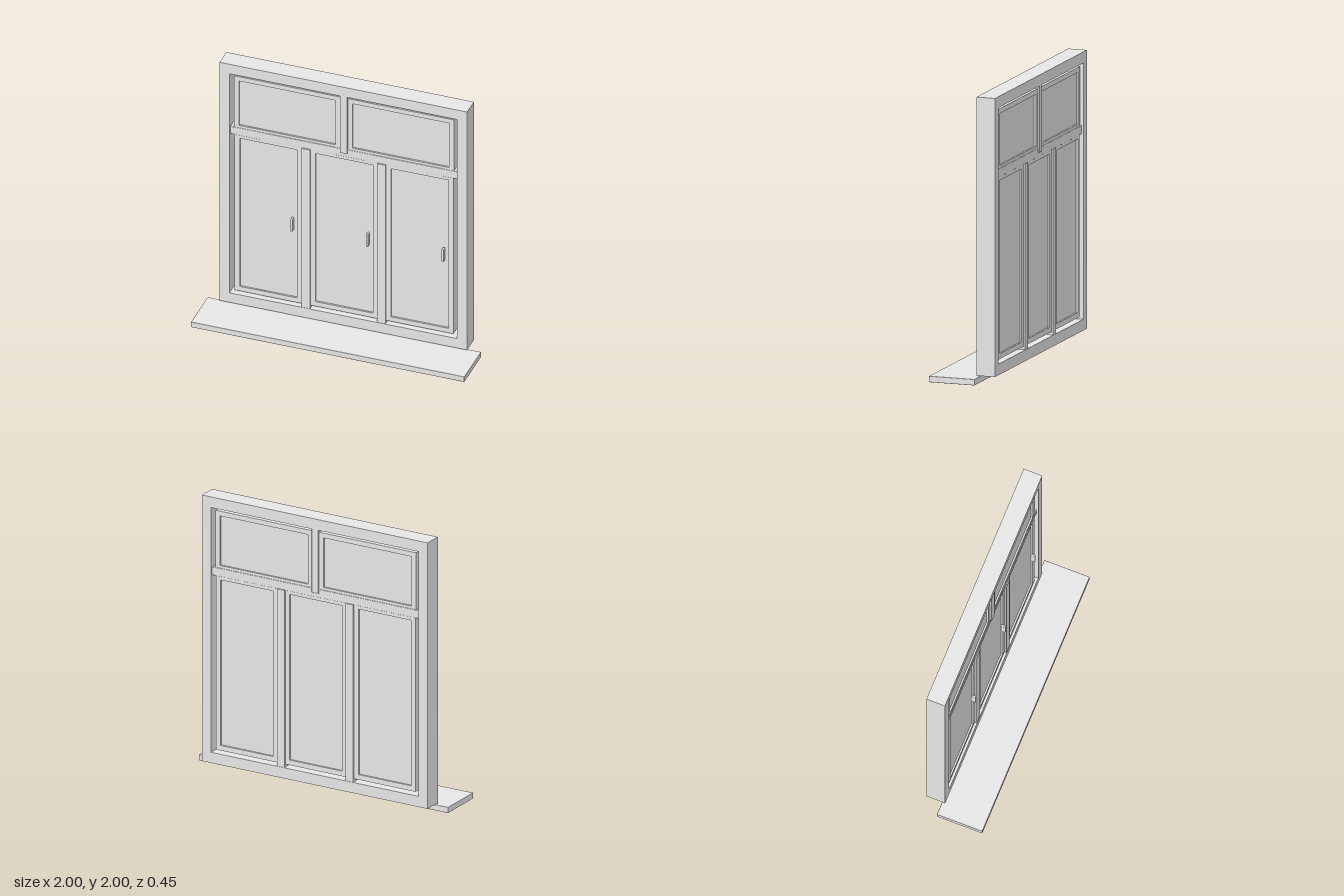
import * as THREE from 'three';
import { RoundedBoxGeometry } from 'three/addons/geometries/RoundedBoxGeometry.js';

const lightGrey = new THREE.MeshStandardMaterial({ color: 0xe6e6e6 });
lightGrey.name = 'lightGrey';

// Box given by its limits on each axis, with slightly softened edges
function block(name, x0, x1, y0, y1, z0, z1, radius = 0.003) {
  const geometry = new RoundedBoxGeometry(x1 - x0, y1 - y0, z1 - z0, 2, radius);
  const mesh = new THREE.Mesh(geometry, lightGrey);
  mesh.position.set((x0 + x1) / 2, (y0 + y1) / 2, (z0 + z1) / 2);
  mesh.name = name;
  return mesh;
}

function rectangle(target, x0, x1, y0, y1) {
  target.moveTo(x0, y0);
  target.lineTo(x1, y0);
  target.lineTo(x1, y1);
  target.lineTo(x0, y1);
  target.closePath();
  return target;
}

// Rectangular ring: outer and inner limits as [x0, x1, y0, y1]
function ring(name, outer, inner, z0, z1) {
  const shape = rectangle(new THREE.Shape(), ...outer);
  shape.holes.push(rectangle(new THREE.Path(), ...inner));
  const geometry = new THREE.ExtrudeGeometry(shape, { depth: z1 - z0, bevelEnabled: false });
  geometry.translate(0, 0, z0);
  const mesh = new THREE.Mesh(geometry, lightGrey);
  mesh.name = name;
  return mesh;
}

// Sash frame with a shallowly recessed pane
function sash(name, x0, x1, y0, y1, rail) {
  const group = new THREE.Group();
  group.name = name;
  const inner = [x0 + rail, x1 - rail, y0 + rail, y1 - rail];
  group.add(ring('sashFrame', [x0, x1, y0, y1], inner, -0.21, -0.103));
  group.add(block('pane', ...inner, -0.198, -0.115, 0.001));
  return group;
}

export function createModel() {
  const model = new THREE.Group();
  model.name = 'window';
  const back = -0.225, front = -0.088;

  // Sill and outer frame
  model.add(block('sill', -1, 1, 0, 0.043, -0.11, 0.225));
  model.add(ring('outerFrame', [-0.905, 0.905, 0.05, 2], [-0.833, 0.833, 0.128, 1.922], back, front));

  // Transom, set back nearly level with the sashes
  model.add(block('transom', -0.832, 0.832, 1.425, 1.485, back + 0.012, front - 0.012));

  // Mullions above and below the transom
  model.add(block('upperMullion', -0.027, 0.027, 1.455, 1.924, back + 0.003, front - 0.003));
  for (const side of [-1, 1]) {
    const x = side * 0.276;
    model.add(block('lowerMullion', x - 0.031, x + 0.031, 0.126, 1.428, back + 0.003, front - 0.003));
  }

  // Two upper sashes
  for (const side of [-1, 1]) {
    const x = side * 0.415;
    model.add(sash('upperSash', x - 0.389, x + 0.389, 1.47, 1.903, 0.035));
  }

  // Three lower sashes, each with a handle on its +x stile
  for (const x of [-0.553, 0, 0.553]) {
    model.add(sash('lowerSash', x - 0.247, x + 0.247, 0.15, 1.437, 0.037));
    model.add(block('handle', x + 0.17, x + 0.187, 0.742, 0.845, -0.105, -0.069, 0.006));
  }
  return model;
}
